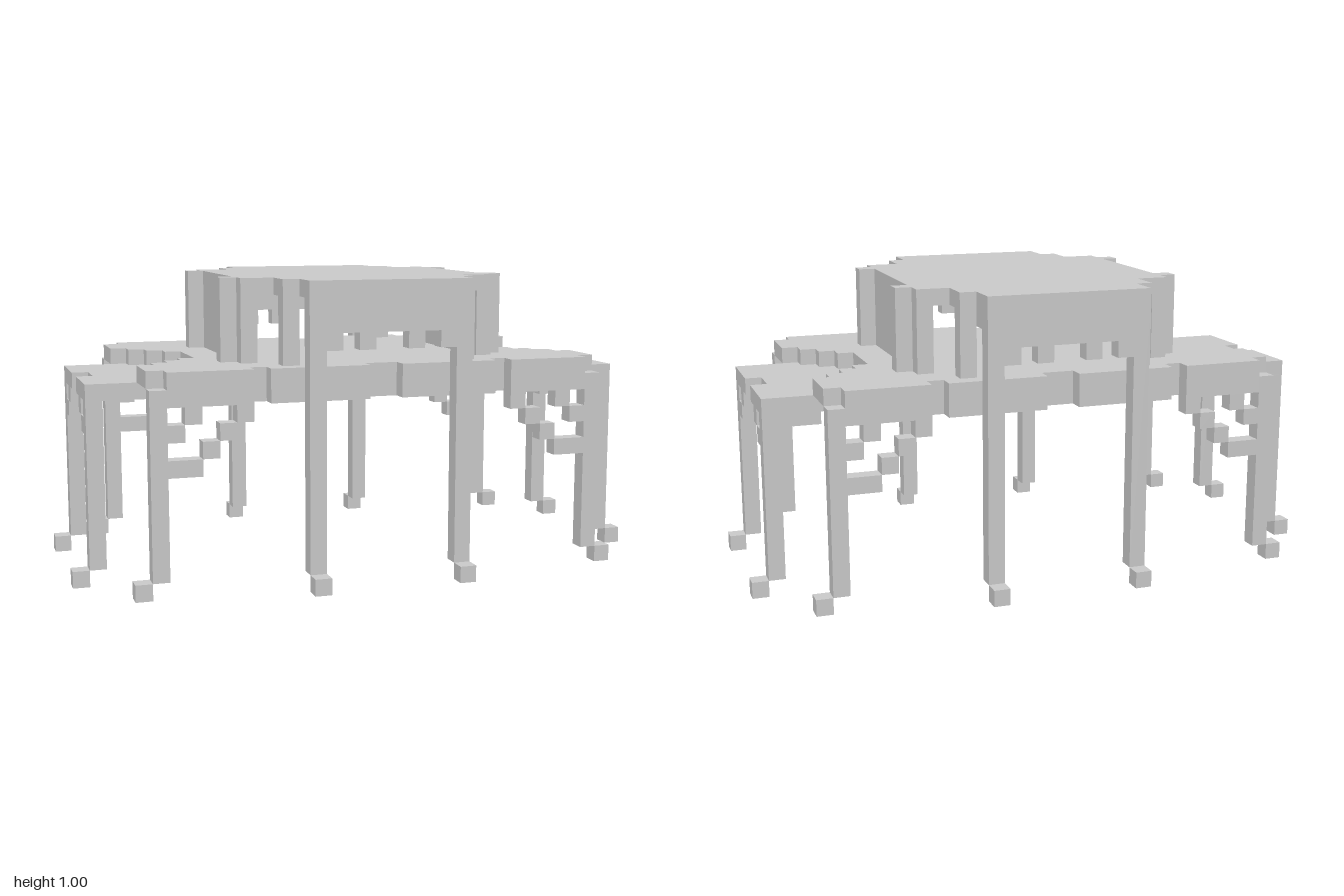
import * as THREE from 'three';

const U = 1 / 18; // edge length of one block
const material = new THREE.MeshStandardMaterial({ color: 0xcccccc, flatShading: true });

export function createModel() {
  const model = new THREE.Group();

  // Box given by its block ranges
  function box(parent, name, x0, x1, y0, y1, z0, z1) {
    const mesh = new THREE.Mesh(new THREE.BoxGeometry((x1 - x0) * U, (y1 - y0) * U, (z1 - z0) * U), material);
    mesh.position.set((x0 + x1) / 2 * U, (y0 + y1) / 2 * U, (z0 + z1) / 2 * U);
    mesh.name = name;
    parent.add(mesh);
  }

  // Horizontal slab whose outline is a quarter profile mirrored in x and z
  function slab(name, quarter, y0, y1) {
    const mirror = (sx, sz) => quarter.map(([x, z]) => new THREE.Vector2(x * sx * U, z * sz * U));
    const outline = [
      ...mirror(1, 1), ...mirror(-1, 1).reverse(),
      ...mirror(-1, -1), ...mirror(1, -1).reverse(),
    ];
    const geometry = new THREE.ExtrudeGeometry(new THREE.Shape(outline), { depth: (y1 - y0) * U, bevelEnabled: false });
    geometry.rotateX(-Math.PI / 2);
    const mesh = new THREE.Mesh(geometry, material);
    mesh.position.y = y0 * U;
    mesh.name = name;
    model.add(mesh);
  }

  slab('lowerDeckWithWings', [
    [16, 1], [17, 1], [17, 5], [13, 5], [13, 9], [8, 9], [8, 8], [7, 8], [7, 9], [1, 9], [1, 8],
  ], 11, 12);
  slab('upperDeck', [
    [10, 2], [11, 2], [11, 3], [12, 3], [12, 4], [13, 4], [13, 5], [14, 5], [14, 8], [13, 8], [13, 9],
    [8, 9], [8, 8], [7, 8], [7, 9], [1, 9], [1, 8],
  ], 12, 13);
  slab('roof', [
    [8, 4], [9, 4], [9, 5], [8, 5], [8, 6], [6, 6], [6, 8], [5, 8], [5, 10],
  ], 17, 18);

  // Parts repeated in all four corners
  for (const sx of [1, -1]) for (const sz of [1, -1]) {
    const corner = new THREE.Group();
    corner.name = `${sz > 0 ? 'front' : 'back'}${sx > 0 ? 'Left' : 'Right'}Corner`;
    model.add(corner);
    const add = (name, x0, x1, y0, y1, z0, z1) => box(corner, name,
      Math.min(x0 * sx, x1 * sx), Math.max(x0 * sx, x1 * sx), y0, y1,
      Math.min(z0 * sz, z1 * sz), Math.max(z0 * sz, z1 * sz));

    // Legs with outward feet
    add('wingLeg', 16, 17, 0.999, 11, 4, 5);
    add('wingFoot', 17, 18, 0, 1, 4, 5);
    add('deckLeg', 13, 14, 0.999, 12, 8, 9);
    add('deckFoot', 14, 15, 0, 1, 8, 9);
    add('tallLeg', 4, 5, 0.999, 17, 9, 10);
    add('tallFoot', 4, 5, 0, 1, 10, 11);

    // Stepped braces below the deck
    add('longBrace', 11, 13, 7, 8, 8, 9);
    for (let i = 0; i < 3; i++) add('longBrace', 10 - i, 11 - i, 8 + i, 9 + i, 8, 9);
    for (let i = 0; i < 2; i++) {
      add('shortBrace', 12 - i, 13 - i, 9 + i, 10 + i, 8, 9);
      add('wingBrace', 16, 17, 9 + i, 10 + i, 3 - i, 4 - i);
    }

    // Roof columns
    add('sideColumn', 8, 9, 13, 17, 4, 5);
    add('cornerColumn', 7, 8, 13, 17, 4, 6);
    add('innerColumn', 5, 6, 13, 17, 7, 8);

    // Teeth along the bottom of the end wall
    add('wallTooth', 3, 4, 14, 15, 9, 10);
    add('wallTooth', 1, 2, 14, 15, 9, 10);
    if (sz < 0) add('roofBracket', 4, 5, 16, 17, 8, 9);
  }

  // Cabin walls
  for (const s of [1, -1]) {
    box(model, 'sideWall', s * 7.5 - 0.5, s * 7.5 + 0.5, 13, 17, -4, 4);
    box(model, 'endWall', -4, 4, 15, 17, s * 9.5 - 0.5, s * 9.5 + 0.5);
  }
  return model;
}
